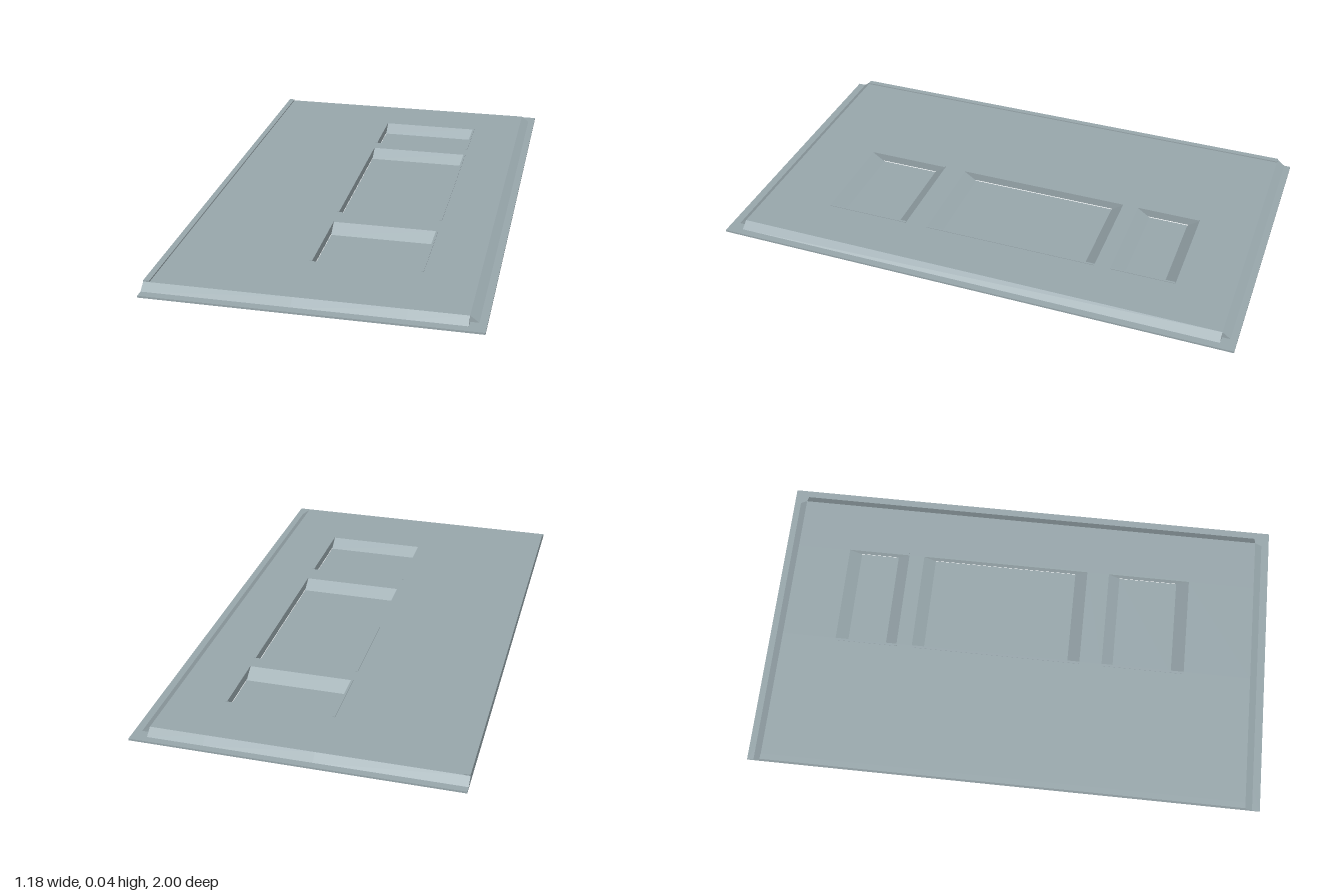
import * as THREE from 'three';

export function createModel() {
  const model = new THREE.Group();
  const grey = new THREE.MeshStandardMaterial({ color: 0x9aa9ae });
  grey.name = 'blue grey';

  const add = (name, geometry) => {
    const mesh = new THREE.Mesh(geometry, grey);
    mesh.name = name;
    model.add(mesh);
  };
  const box = (name, x0, x1, y0, y1, z0, z1) => add(name,
    new THREE.BoxGeometry(x1 - x0, y1 - y0, z1 - z0)
      .translate((x0 + x1) / 2, (y0 + y1) / 2, (z0 + z1) / 2));
  const shapeOf = (points) => new THREE.Shape(points.map(([a, b]) => new THREE.Vector2(a, b)));
  const extrude = (shape, depth) => new THREE.ExtrudeGeometry(shape, { depth, bevelEnabled: false });
  // Sweeps a (z, y) profile from x0 to x1
  const sweepX = (name, profile, x0, x1) => add(name,
    extrude(shapeOf(profile), x1 - x0).rotateY(-Math.PI / 2).translate(x1, 0, 0));

  const top = 0.039, plateTop = 0.016, plateBottom = 0.009, floor = 0.006;
  const back = -0.945, front = 0.94, slope = 0.03;
  const wellX0 = -0.063, wellX1 = 0.328;
  const wells = [[-0.73, -0.482], [-0.42, 0.257], [0.346, 0.675]];

  // Base plate, cut through under each well
  const plate = shapeOf([[-0.59, -1], [0.59, -1], [0.59, 1], [-0.59, 1]]);
  for (const [z0, z1] of wells) {
    plate.holes.push(new THREE.Path([[wellX0, -z0], [wellX0, -z1], [wellX1, -z1], [wellX1, -z0]]
      .map(([x, y]) => new THREE.Vector2(x, y))));
  }
  add('basePlate', extrude(plate, plateTop - plateBottom)
    .rotateX(-Math.PI / 2).translate(0, plateBottom, 0));

  // Side panels with sloping front and back ends
  const panel = [[back - slope, plateTop], [front + slope, plateTop], [front, top], [back, top]];
  sweepX('rightPanel', panel, -0.59, wellX0);
  sweepX('leftPanel', panel, wellX1, 0.532);

  // Middle panel: wells with sloping ends, their pans showing underneath
  const lower = [], upper = [];
  for (const [z0, z1] of wells) {
    lower.push([z0, plateTop - 0.003], [z0, 0], [z1, 0], [z1, plateTop - 0.003]);
    upper.push([z0, top], [z0 + 0.046, floor], [z1 - 0.048, floor], [z1, top]);
  }
  sweepX('middlePanel', [
    [back - slope, plateTop], [back, plateTop - 0.003], ...lower, [front, plateTop - 0.003],
    [front + slope, plateTop], [front, top], ...upper.reverse(), [back, top],
  ], wellX0, wellX1);

  // Sloping long edge
  add('edgeBevel', extrude(shapeOf([[0.532, plateTop], [0.563, plateTop], [0.532, top]]), front - back)
    .translate(0, 0, back));

  // Raised lip on the straight long edge
  box('edgeLip', -0.59, -0.568, top, 0.044, back, front);

  // Fine rims beside the wells
  for (const [z0, z1] of wells) {
    box('wellRim', wellX0 - 0.009, wellX0, top, 0.041, z0, z1);
    box('wellRim', wellX1, wellX1 + 0.008, top, 0.041, z0, z1);
  }
  return model;
}
